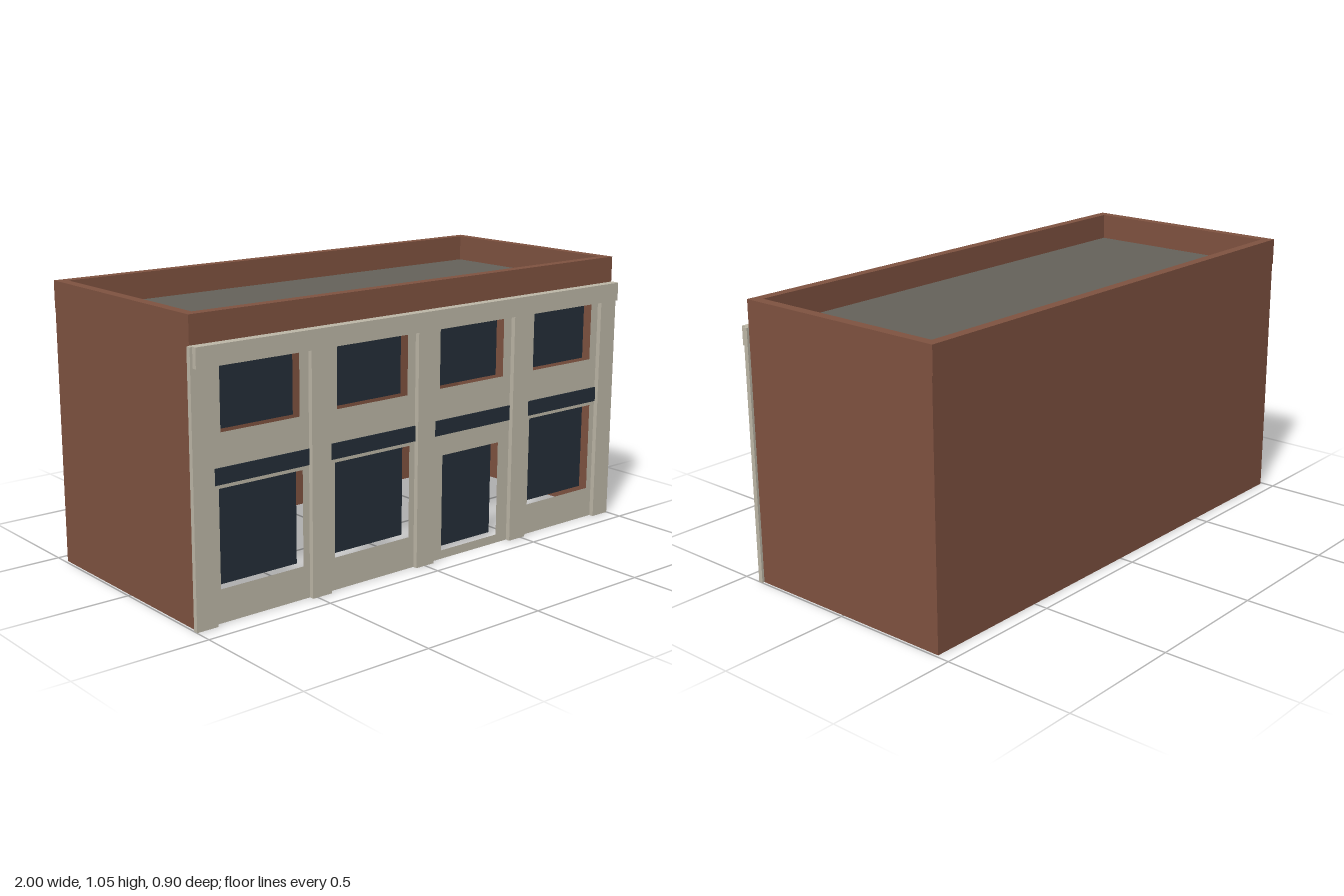
import * as THREE from 'three';

const material = (name, color, side = THREE.DoubleSide) => {
  const m = new THREE.MeshStandardMaterial({ color, side });
  m.name = name;
  return m;
};

// Rectangle outline, added to a Shape or Path
function rect(path, x0, y0, x1, y1) {
  path.moveTo(x0, y0);
  path.lineTo(x1, y0);
  path.lineTo(x1, y1);
  path.lineTo(x0, y1);
  path.closePath();
  return path;
}

export function createModel() {
  const brick = material('brick', 0x7f5240);
  const stone = material('stone', 0xbdb7a7);
  const glass = material('darkGlass', 0x242e38);
  const roofing = material('roofing', 0x65625a);

  const HALF_W = 0.99, FRONT = 0.413, BACK = -0.446, WALL_H = 0.95, TOP = 1.05;
  const DEPTH = FRONT - BACK, MID = (FRONT + BACK) / 2, INSET = 0.038;

  const group = new THREE.Group();
  group.name = 'building';
  const add = (name, geometry, mat, x = 0, y = 0, z = 0) => {
    const mesh = new THREE.Mesh(geometry, mat);
    mesh.name = name;
    mesh.position.set(x, y, z);
    group.add(mesh);
    return mesh;
  };

  // Openings: centre x, bottom, top, width
  const bays = [-0.719, -0.238, 0.238, 0.719];
  const openings = [];
  bays.forEach((x, i) => {
    openings.push({ name: 'upperWindow', x, y0: 0.653, y1: 0.885, w: 0.32 });
    openings.push(i === 2
      ? { name: 'door', x, y0: 0.033, y1: 0.4, w: 0.285 }
      : { name: 'shopWindow', x, y0: 0.12, y1: 0.465, w: 0.342 });
  });

  // Thin facade sheet with holes, and glass set back behind it
  const facade = rect(new THREE.Shape(), -HALF_W, 0, HALF_W, WALL_H);
  for (const o of openings) {
    facade.holes.push(rect(new THREE.Path(), o.x - o.w / 2, o.y0, o.x + o.w / 2, o.y1));
    add(o.name, new THREE.PlaneGeometry(o.w, o.y1 - o.y0), glass,
      o.x, (o.y0 + o.y1) / 2, FRONT - INSET);
  }
  add('facade', new THREE.ShapeGeometry(facade), stone, 0, 0, FRONT);

  // Dark fascia bands between the pilasters
  for (const x of bays) {
    add('fasciaBand', new THREE.BoxGeometry(0.395, 0.057, 0.004), glass, x, 0.507, FRONT + 0.002);
  }

  // Pilasters and cornice
  for (let i = -2; i <= 2; i++) {
    add('pilaster', new THREE.BoxGeometry(0.083, WALL_H, 0.018), stone,
      i * 0.479, WALL_H / 2, FRONT + 0.009);
  }
  add('cornice', new THREE.BoxGeometry(HALF_W * 2, 0.07, 0.036), stone, 0, 0.916, FRONT + 0.018);

  // Open-bottomed brick shell
  for (const s of [-1, 1]) {
    add('sideWall', new THREE.PlaneGeometry(DEPTH, WALL_H), brick,
      s * HALF_W, WALL_H / 2, MID).rotation.y = s * Math.PI / 2;
  }
  add('backWall', new THREE.PlaneGeometry(HALF_W * 2, WALL_H), brick,
    0, WALL_H / 2, BACK).rotation.y = Math.PI;

  // Parapet ring, drawn in plan and extruded upward
  const parapetBack = -0.449;
  const ring = rect(new THREE.Shape(), -HALF_W, -FRONT, HALF_W, -parapetBack);
  ring.holes.push(rect(new THREE.Path(),
    -HALF_W + INSET, -FRONT + INSET, HALF_W - INSET, -parapetBack - INSET));
  add('parapet', new THREE.ExtrudeGeometry(ring, { depth: TOP - WALL_H, bevelEnabled: false }),
    brick, 0, WALL_H, 0).rotation.x = -Math.PI / 2;

  // Flat roof inside the parapet
  add('roof', new THREE.PlaneGeometry((HALF_W - INSET) * 2, FRONT - parapetBack - INSET * 2),
    roofing, 0, WALL_H, (FRONT + parapetBack) / 2).rotation.x = -Math.PI / 2;

  return group;
}
